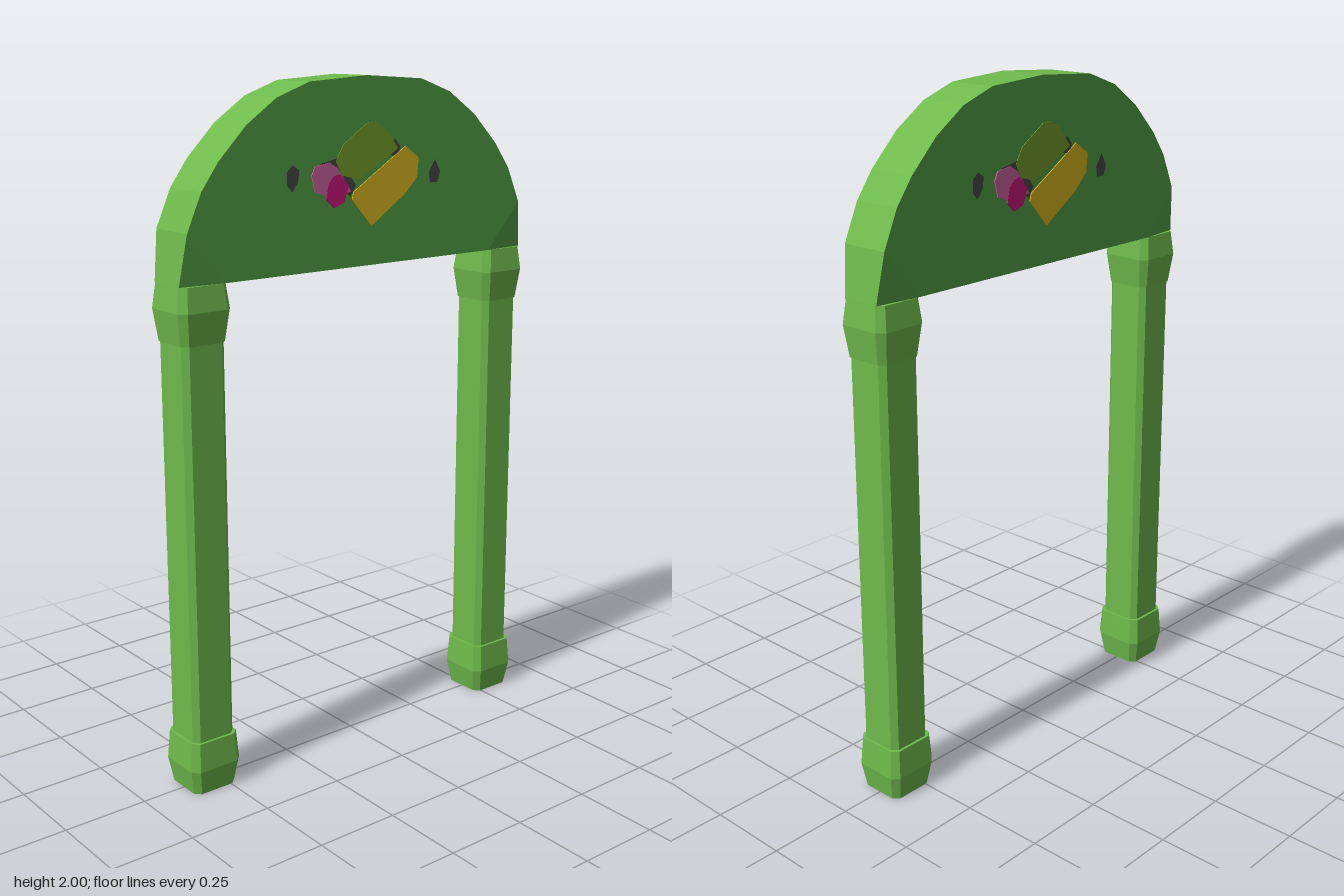
import * as THREE from 'three';

const mat = (name, color) => {
  const m = new THREE.MeshStandardMaterial({ color, flatShading: true });
  m.name = name;
  return m;
};

// Square post with bevelled corners, swept through [halfWidth, y] sections
function bevelledPost(sections) {
  const g = new THREE.LatheGeometry(sections.map(([r, y]) => new THREE.Vector2(r, y)), 8, Math.PI / 8);
  const p = g.attributes.position;
  for (let i = 0; i < p.count; i++) {
    const x = p.getX(i), z = p.getZ(i), r = Math.hypot(x, z);
    const square = v => Math.sign(v) * r * (Math.abs(v) > 0.6 * r ? 1 : 0.76);
    p.setX(i, square(x));
    p.setZ(i, square(z));
  }
  return g;
}

const outline = pts => new THREE.Shape(pts.map(([x, y]) => new THREE.Vector2(x, y)));

export function createModel() {
  const green = mat('light green', 0x6fba4c);
  const panelGreen = mat('panel green', 0x54a247);
  const olive = mat('olive', 0x75a02c);
  const yellow = mat('yellow', 0xdcba20);
  const pink = mat('pink', 0xcc649e);
  const magenta = mat('magenta', 0xcc187c);
  const dark = mat('dark grey', 0x484848);

  const model = new THREE.Group();
  const add = (parent, name, geometry, material) => {
    const m = new THREE.Mesh(geometry, material);
    m.name = name;
    parent.add(m);
    return m;
  };

  // Legs with a swollen foot and a swollen collar
  const D = 0.075;
  for (const [side, s] of [['left', 1], ['right', -1]]) {
    const leg = new THREE.Group();
    leg.name = side + 'Leg';
    leg.position.x = s * 0.548;
    add(leg, 'post', bevelledPost([[0.068, 0.1], [0.068, 1.4]]), green);
    add(leg, 'foot', bevelledPost([[0, 0], [0.069, 0], [0.082, 0.075], [0.076, 0.16], [0, 0.16]]), green);
    add(leg, 'collar', bevelledPost([[0, 1.31], [0.071, 1.31], [0.083, 1.4], [0.0745, 1.47], [0, 1.47]]), green);
    model.add(leg);
  }

  // Half-round panel, its lower corners finished separately
  const half = [[0.48, 1.47], [0.602, 1.61], [0.555, 1.715], [0.5, 1.79], [0.41, 1.88], [0.31, 1.948], [0.2, 1.987]];
  const arch = [...half, [0, 2], ...half.map(([x, y]) => [-x, y]).reverse()];
  const panel = new THREE.ExtrudeGeometry(outline(arch), { depth: 2 * D, bevelEnabled: false });
  panel.translate(0, 0, -D);
  add(model, 'archPanel', panel, [panelGreen, green]);

  // Panel corners narrowing in depth to meet the collars
  for (const [side, s] of [['left', 1], ['right', -1]]) {
    const a = z => [s * 0.48, 1.47, z * D];
    const b = z => [s * 0.622, 1.47, z * 0.06];
    const c = z => [s * 0.602, 1.61, z * D];
    const tris = [
      [a(1), b(1), c(1)], [a(-1), c(-1), b(-1)],
      [b(1), b(-1), c(-1)], [b(1), c(-1), c(1)],
      [a(1), a(-1), b(-1)], [a(1), b(-1), b(1)],
    ].map(t => (s > 0 ? t : [t[0], t[2], t[1]]));
    const g = new THREE.BufferGeometry();
    g.setAttribute('position', new THREE.Float32BufferAttribute(tris.flat(2), 3));
    g.computeVertexNormals();
    g.addGroup(0, 6, 0);
    g.addGroup(6, 12, 1);
    add(model, side + 'PanelCorner', g, [panelGreen, green]);
  }

  // Painted patches, repeated on both faces
  const patches = [
    ['leftDot', dark, 1, [[0.255, 1.757], [0.276, 1.72], [0.265, 1.69], [0.238, 1.69], [0.232, 1.72]]],
    ['rightDot', dark, 1, [[-0.28, 1.75], [-0.26, 1.768], [-0.238, 1.752], [-0.243, 1.72], [-0.262, 1.695], [-0.28, 1.715]]],
    ['darkEdge', dark, 1, [[-0.17, 1.765], [-0.1, 1.78], [-0.04, 1.7], [-0.06, 1.67]]],
    ['darkCorner', dark, 1, [[0.08, 1.78], [0.1, 1.825], [0.122, 1.8], [0.115, 1.77]]],
    ['olivePatch', olive, 2, [[-0.085, 1.815], [0, 1.87], [0.03, 1.872], [0.07, 1.85], [0.113, 1.795], [-0.03, 1.715], [-0.09, 1.73], [-0.112, 1.77]]],
    ['yellowPatch', yellow, 3, [[-0.05, 1.682], [0.14, 1.8], [0.19, 1.765], [0.185, 1.71], [0.14, 1.665], [0.015, 1.582], [-0.055, 1.66]]],
    ['pinkPatch', pink, 3, [[-0.197, 1.735], [-0.185, 1.76], [-0.135, 1.768], [-0.105, 1.75], [-0.06, 1.685], [-0.12, 1.665], [-0.185, 1.69]]],
    ['magentaPatch', magenta, 4, [[-0.14, 1.71], [-0.122, 1.73], [-0.1, 1.735], [-0.068, 1.7], [-0.085, 1.655], [-0.12, 1.642], [-0.148, 1.668]]],
  ];
  for (const [name, turn] of [['frontPicture', 0], ['backPicture', Math.PI]]) {
    const picture = new THREE.Group();
    picture.name = name;
    picture.rotation.y = turn;
    for (const [part, material, layer, pts] of patches) {
      const g = new THREE.ExtrudeGeometry(outline(pts), { depth: 0.001 * layer, bevelEnabled: false });
      add(picture, part, g, material).position.z = D;
    }
    model.add(picture);
  }
  return model;
}
